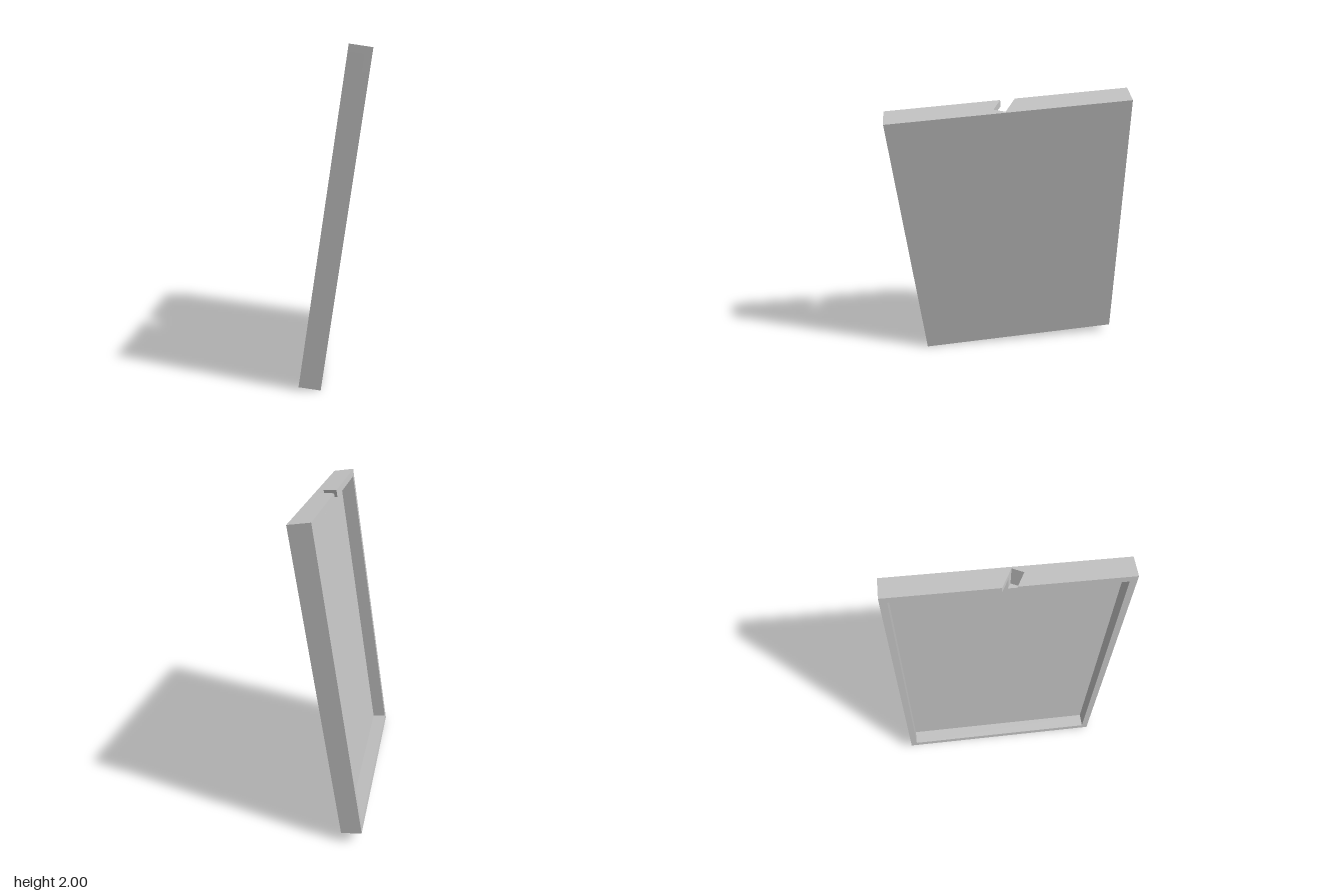
import * as THREE from 'three';

const W = 0.67, H = 0.967, D = 0.064; // half width, height, depth
const T = 0.041;                      // wall thickness
const FLOOR = -D + T;                 // inner face of the back panel
const SLOT_BOTTOM = 0.835;

export function createModel() {
  const grey = new THREE.MeshStandardMaterial({ color: 0xc4c4c4 });
  grey.name = 'light grey';

  const tray = new THREE.Group();
  tray.name = 'tray';

  const add = (name, geometry) => {
    const mesh = new THREE.Mesh(geometry, grey);
    mesh.name = name;
    tray.add(mesh);
  };

  // Box given by its lower and upper limits
  const block = (name, x0, x1, y0, y1, z0, z1) => {
    const g = new THREE.BoxGeometry(x1 - x0, y1 - y0, z1 - z0);
    g.translate((x0 + x1) / 2, (y0 + y1) / 2, (z0 + z1) / 2);
    add(name, g);
  };

  // Plan outline of [x, z] points raised from y0 to y1
  const prism = (name, points, y0, y1) => {
    const shape = new THREE.Shape(points.map(([x, z]) => new THREE.Vector2(x, -z)));
    const g = new THREE.ExtrudeGeometry(shape, { depth: y1 - y0, bevelEnabled: false });
    g.rotateX(-Math.PI / 2);
    g.translate(0, y0, 0);
    add(name, g);
  };

  // Back panel, with the slanted slot cut into its upper strip
  block('backPanel', -W, W, -H, SLOT_BOTTOM, -D, FLOOR);
  prism('slottedBackStrip', [
    [-W, -D], [W, -D], [W, FLOOR],
    [0.082, FLOOR], [0.020, -0.054], [0.003, FLOOR], [-W, FLOOR],
  ], SLOT_BOTTOM, H - T);

  // Rim walls
  block('bottomWall', -W, W, -H, -H + T, FLOOR, D);
  for (const [name, s] of [['leftWall', 1], ['rightWall', -1]]) {
    const a = s * W, b = s * (W - T);
    block(name, Math.min(a, b), Math.max(a, b), -H + T, H - T, FLOOR, D);
  }

  // Top wall, cut through by the same slanted notch
  prism('notchedTopWall', [
    [-W, -D], [W, -D], [W, D],
    [0.036, D], [0.082, FLOOR], [0.020, -0.054], [-0.044, D], [-W, D],
  ], H - T, H);

  // Lean and turn the whole tray
  const across = new THREE.Vector3(0.64, -0.068, 1.175).normalize();
  const up = new THREE.Vector3(0.295, 1.91, -0.05);
  const out = new THREE.Vector3().crossVectors(across, up).normalize();
  up.crossVectors(out, across);
  tray.quaternion.setFromRotationMatrix(new THREE.Matrix4().makeBasis(across, up, out));
  tray.position.y = 1;

  const model = new THREE.Group();
  model.name = 'tiltedTray';
  model.add(tray);
  return model;
}
